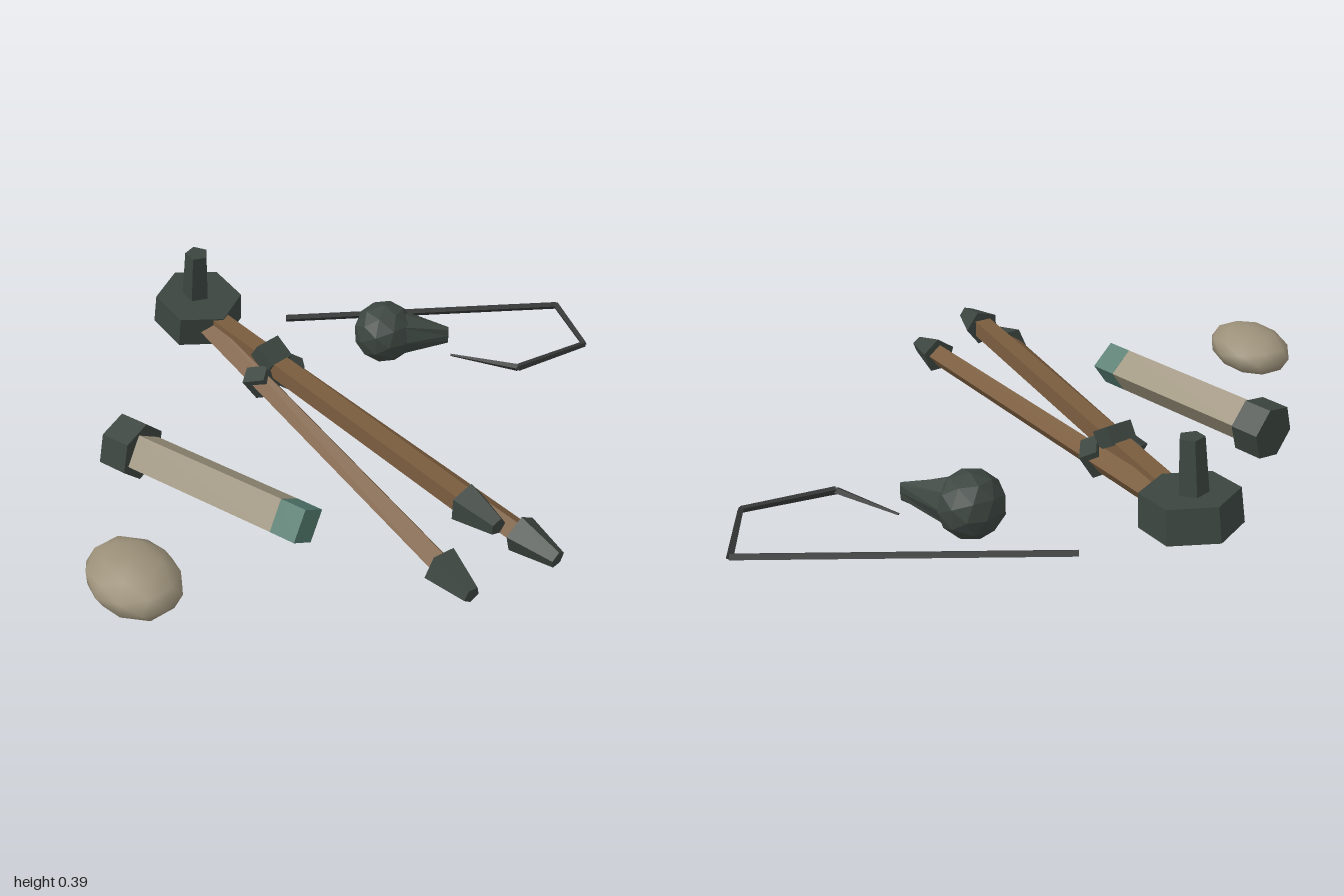
import * as THREE from 'three';

const mat = (name, color, flatShading = true) => {
  const m = new THREE.MeshStandardMaterial({ color, flatShading });
  m.name = name;
  return m;
};
const V = (x, y, z) => new THREE.Vector3(x, y, z);
const UP = V(0, 1, 0);

export function createModel() {
  const iron = mat('darkIron', 0x3c4540);
  const cordMat = mat('charcoalCord', 0x343636);
  const wood = mat('wood', 0x7a5c3e);
  const cloth = mat('paleCanvas', 0x9c927c);
  const stoneMat = mat('stone', 0x9c917a, false);
  const glass = mat('tealGlass', 0x52796d);

  const group = new THREE.Group();
  const add = (parent, name, geo, material) => {
    const m = new THREE.Mesh(geo, material);
    m.name = name;
    parent.add(m);
    return m;
  };
  const part = (name) => {
    const g = new THREE.Group();
    g.name = name;
    group.add(g);
    return g;
  };
  // Prism from a to b with radii r0, r1; roll turns it around its own axis
  const bar = (parent, name, a, b, r0, r1, sides, material, roll = 0) => {
    const d = b.clone().sub(a);
    const geo = new THREE.CylinderGeometry(r1, r0, d.length(), sides);
    geo.rotateY(Math.PI / sides + roll);
    const m = add(parent, name, geo, material);
    m.position.copy(a).add(b).multiplyScalar(0.5);
    m.quaternion.setFromUnitVectors(UP, d.normalize());
    return m;
  };

  // Folded tripod: tilted hexagonal head with a post
  const tripod = part('tripod');
  const headGeo = new THREE.CylinderGeometry(0.135, 0.14, 0.1, 6);
  headGeo.rotateY(Math.PI / 6);
  const head = add(tripod, 'head', headGeo, iron);
  head.position.set(-0.665, 0.182, 0.09);
  head.rotation.z = -0.17;
  bar(tripod, 'post', V(-0.675, 0.2, 0.09), V(-0.65, 0.39, 0.09), 0.045, 0.036, 5, iron);

  // Three legs arranged around the long axis, each with a clamp and a foot
  const legs = [
    { a: V(-0.6, 0.178, 0.09), b: V(0.6, 0.178, 0.09), tip: V(0.7, 0.175, 0.09), roll: 0 },
    { a: V(-0.6, 0.16, 0.11), b: V(0.65, 0.06, 0.22), tip: V(0.75, 0.05, 0.225), roll: 2 * Math.PI / 3 },
    { a: V(-0.6, 0.16, 0.07), b: V(0.69, 0.06, -0.035), tip: V(0.8, 0.05, -0.045), roll: -2 * Math.PI / 3 },
  ];
  for (const { a, b, tip, roll } of legs) {
    bar(tripod, 'leg', a, b, 0.039, 0.037, 4, wood, roll);
    const dir = b.clone().sub(a).normalize();
    bar(tripod, 'foot', b.clone().addScaledVector(dir, -0.025), tip, 0.058, 0.026, 5, iron, roll);
    const clamp = add(tripod, 'clamp', new THREE.BoxGeometry(0.075, 0.055, 0.085), iron);
    clamp.position.lerpVectors(a, b, 0.27);
    clamp.rotation.set(roll, 0.1, -0.6);
    if (roll === 0) clamp.position.y += 0.025;
  }

  // Spyglass: hexagonal cap, square barrel, glass end
  const scope = part('spyglass');
  bar(scope, 'cap', V(-0.335, 0.098, 0.608), V(-0.247, 0.097, 0.582), 0.088, 0.088, 6, iron);
  bar(scope, 'barrel', V(-0.26, 0.097, 0.585), V(0.228, 0.093, 0.436), 0.068, 0.068, 4, cloth, -0.33);
  bar(scope, 'glassEnd', V(0.228, 0.093, 0.436), V(0.305, 0.092, 0.413), 0.068, 0.068, 4, glass, -0.33);

  // Rounded stone
  const stone = add(group, 'stone', new THREE.IcosahedronGeometry(1, 1), stoneMat);
  stone.scale.set(0.157, 0.072, 0.117);
  stone.position.set(0.173, 0.095, 0.884);

  // Plumb weight: ball with a snout narrowing to an upright blade
  const weight = part('plumbWeight');
  const ball = add(weight, 'ball', new THREE.IcosahedronGeometry(0.1, 1), iron);
  ball.position.set(-0.266, 0.102, -0.358);
  const snoutGeo = new THREE.CylinderGeometry(0.03, 0.078, 0.17, 8);
  const p = snoutGeo.attributes.position;
  for (let i = 0; i < p.count; i++) if (p.getY(i) > 0) p.setX(i, p.getX(i) * 0.2);
  snoutGeo.rotateX(Math.PI / 2);
  const snout = add(weight, 'snout', snoutGeo, iron);
  snout.position.set(-0.178, 0.102, -0.443);
  snout.rotation.y = Math.atan2(0.146, -0.142);

  // Loose cord lying in straight runs
  const cord = part('cord');
  const path = [
    V(-0.57, 0.07, -0.19), V(-0.092, 0.026, -0.99), V(0.125, 0.022, -0.893),
    V(0.085, 0.028, -0.622), V(-0.11, 0.024, -0.51),
  ];
  const radii = [0.012, 0.012, 0.01, 0.012, 0.004];
  for (let i = 0; i < 4; i++) bar(cord, 'cordRun', path[i], path[i + 1], radii[i], radii[i + 1], 4, cordMat);

  return group;
}
